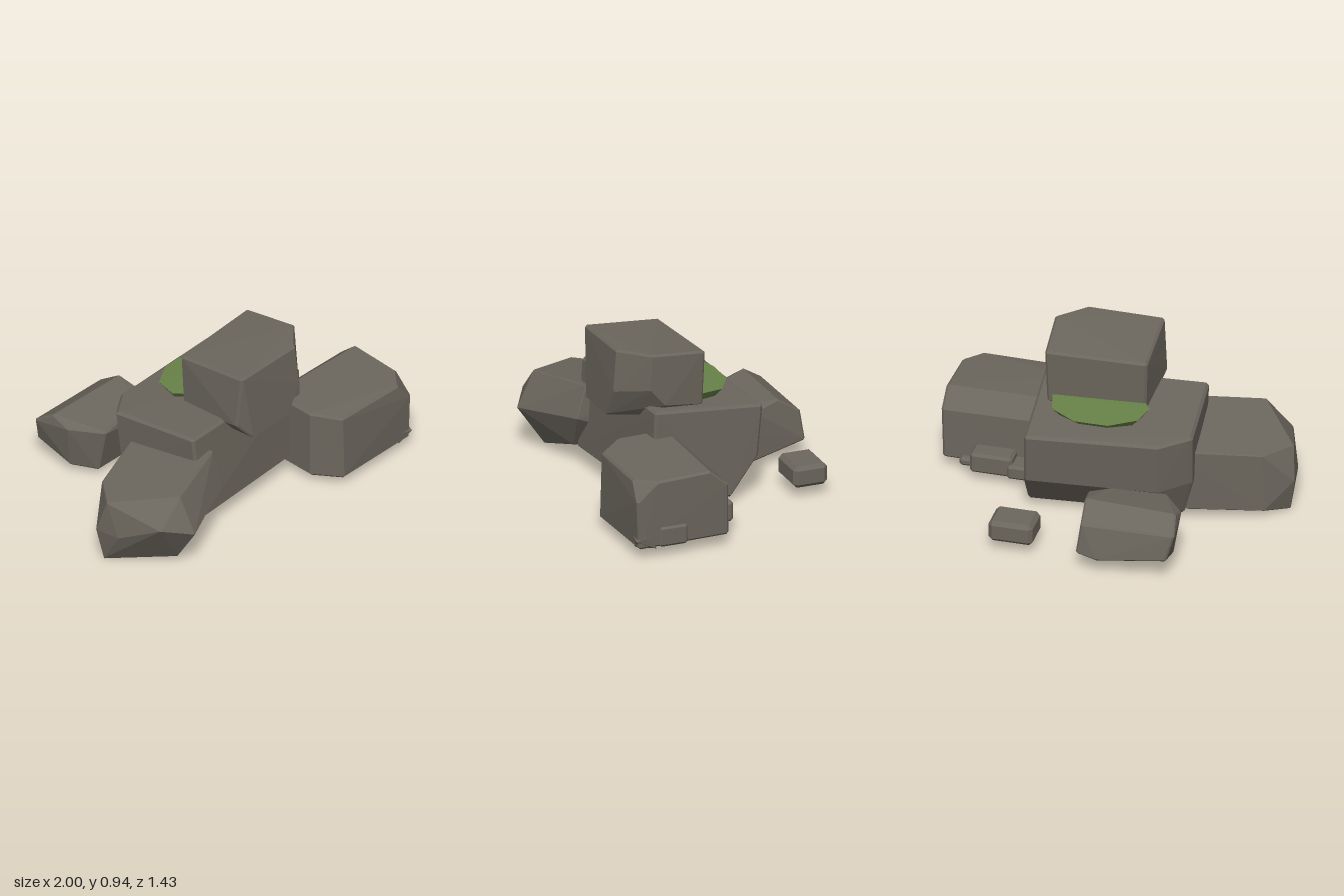
import * as THREE from 'three';
import { ConvexGeometry } from 'three/addons/geometries/ConvexGeometry.js';

const stone = new THREE.MeshStandardMaterial({ color: 0x6b665d });
stone.name = 'stone grey';
const moss = new THREE.MeshStandardMaterial({ color: 0x688248 });
moss.name = 'moss green';

// Convex chunk from its corners, each corner chamfered by b
function chunk(name, corners, b = 0.015, material = stone) {
  const box = new THREE.Box3().setFromPoints(corners.map((c) => new THREE.Vector3(...c)));
  const mid = box.getCenter(new THREE.Vector3()).toArray();
  const points = [];
  for (const c of corners) {
    if (b === 0) {
      points.push(new THREE.Vector3(...c));
      continue;
    }
    for (let keep = 0; keep < 3; keep++) {
      points.push(new THREE.Vector3(...c.map((v, i) => (i === keep ? v : v - b * Math.sign(v - mid[i])))));
    }
  }
  const mesh = new THREE.Mesh(new ConvexGeometry(points), material);
  mesh.name = name;
  return mesh;
}

// Small boxy pebble from its extents
function pebble(name, [x0, x1], [y0, y1], [z0, z1], b = 0.015) {
  const corners = [];
  for (const x of [x0, x1]) for (const y of [y0, y1]) for (const z of [z0, z1]) corners.push([x, y, z]);
  return chunk(name, corners, b);
}

export function createModel() {
  const group = new THREE.Group();
  group.name = 'rockPile';

  // Large central boulder, undercut at the back
  group.add(chunk('centralBoulder', [
    [-0.51, 0.59, -0.11], [-0.36, 0.575, -0.22], [0.40, 0.56, -0.28], [0.45, 0.63, 0.38], [-0.46, 0.63, 0.44],
    [-0.50, 0.27, -0.08], [-0.35, 0.25, -0.19], [0.41, 0.25, -0.25],
    [0.45, 0.11, 0.40], [-0.43, 0.11, 0.48], [0.43, 0.05, -0.09], [-0.44, 0.05, -0.02],
  ]));

  // Boulder on top, with a cut front corner
  group.add(chunk('topBoulder', [
    [-0.20, 0.90, 0.09], [0.37, 0.915, 0.05], [0.40, 0.95, 0.39], [0.26, 0.95, 0.53], [-0.18, 0.94, 0.54],
    [-0.19, 0.56, 0.10], [0.36, 0.59, 0.06], [0.40, 0.63, 0.29], [0.40, 0.73, 0.40], [0.27, 0.70, 0.55],
    [0.18, 0.54, 0.56], [0.33, 0.56, 0.30], [-0.12, 0.53, 0.56], [-0.20, 0.62, 0.52],
  ], 0.012));

  // Leaning boulder on the -x side
  group.add(chunk('leaningBoulder', [
    [-0.98, 0.40, 0.28], [-0.85, 0.40, 0.12], [-0.35, 0.45, -0.05], [-0.74, 0.47, 0.61], [-0.33, 0.51, 0.47],
    [-1.00, 0.20, 0.22], [-0.98, 0.20, 0.38], [-0.89, 0.32, 0.61], [-0.73, 0.27, 0.71], [-0.31, 0.33, 0.53],
    [-0.97, 0.01, 0.25], [-0.86, 0.05, 0.12], [-0.71, 0.04, 0.56], [-0.44, 0.12, 0.50], [-0.35, 0.08, -0.04],
  ], 0.005));

  // Block on the +x side
  group.add(chunk('sideBoulder', [
    [0.34, 0.475, 0.27], [0.99, 0.475, 0.27], [0.34, 0.39, 0.18], [0.99, 0.39, 0.17],
    [0.34, 0.47, 0.57], [0.44, 0.45, 0.70], [0.90, 0.455, 0.70], [0.985, 0.46, 0.60], [0.98, 0.36, 0.71],
    [0.34, 0.07, 0.17], [0.98, 0.08, 0.165], [0.34, 0.06, 0.57], [0.44, 0.06, 0.71], [0.98, 0.07, 0.70],
  ], 0.012));

  // Loose boulder behind
  group.add(chunk('rearBoulder', [
    [-0.54, 0.37, -0.56], [-0.02, 0.385, -0.55], [-0.56, 0.30, -0.67], [-0.03, 0.30, -0.68],
    [-0.52, 0.14, -0.69], [-0.12, 0.10, -0.715], [-0.01, 0.12, -0.70],
    [-0.54, 0.33, -0.43], [-0.42, 0.32, -0.27], [-0.10, 0.34, -0.32], [0.00, 0.345, -0.39], [0.00, 0.25, -0.31],
    [-0.50, 0.06, -0.45], [-0.42, 0.05, -0.32], [-0.10, 0.02, -0.36], [-0.01, 0.03, -0.35],
  ], 0.01));

  // Pebbles around the base
  const pebbles = [
    [[0.26, 0.51], [0.07, 0.195], [-0.62, -0.42], 0.022],
    [[0.56, 0.80], [0.07, 0.19], [0.06, 0.20]],
    [[0.38, 0.59], [0.065, 0.15], [0.05, 0.18]],
    [[0.74, 0.88], [0.06, 0.11], [0.13, 0.29]],
    [[0.89, 0.995], [0.07, 0.19], [0.41, 0.58]],
  ];
  pebbles.forEach((p, i) => group.add(pebble('pebble' + (i + 1), ...p)));
  group.add(chunk('frontPebble', [
    [0.84, 0.14, 0.69], [0.99, 0.14, 0.66], [0.90, 0.06, 0.69], [0.99, 0.07, 0.60], [0.98, 0.12, 0.715], [0.87, 0.14, 0.60],
  ], 0));

  // Flat moss patch with an undercut rim
  const rim = [];
  const n = 9;
  for (let i = 0; i < n; i++) {
    const a = ((i + 0.25) / n) * Math.PI * 2;
    const x = 0.05 + 0.28 * Math.cos(a), z = 0.02 + 0.2 * Math.sin(a);
    rim.push([x, 0.645 + 0.07 * Math.min(z, 0), z]);
    rim.push([0.05 + (x - 0.05) * 0.85, 0.59, z * 0.7]);
  }
  group.add(chunk('mossPatch', rim, 0, moss));

  return group;
}
